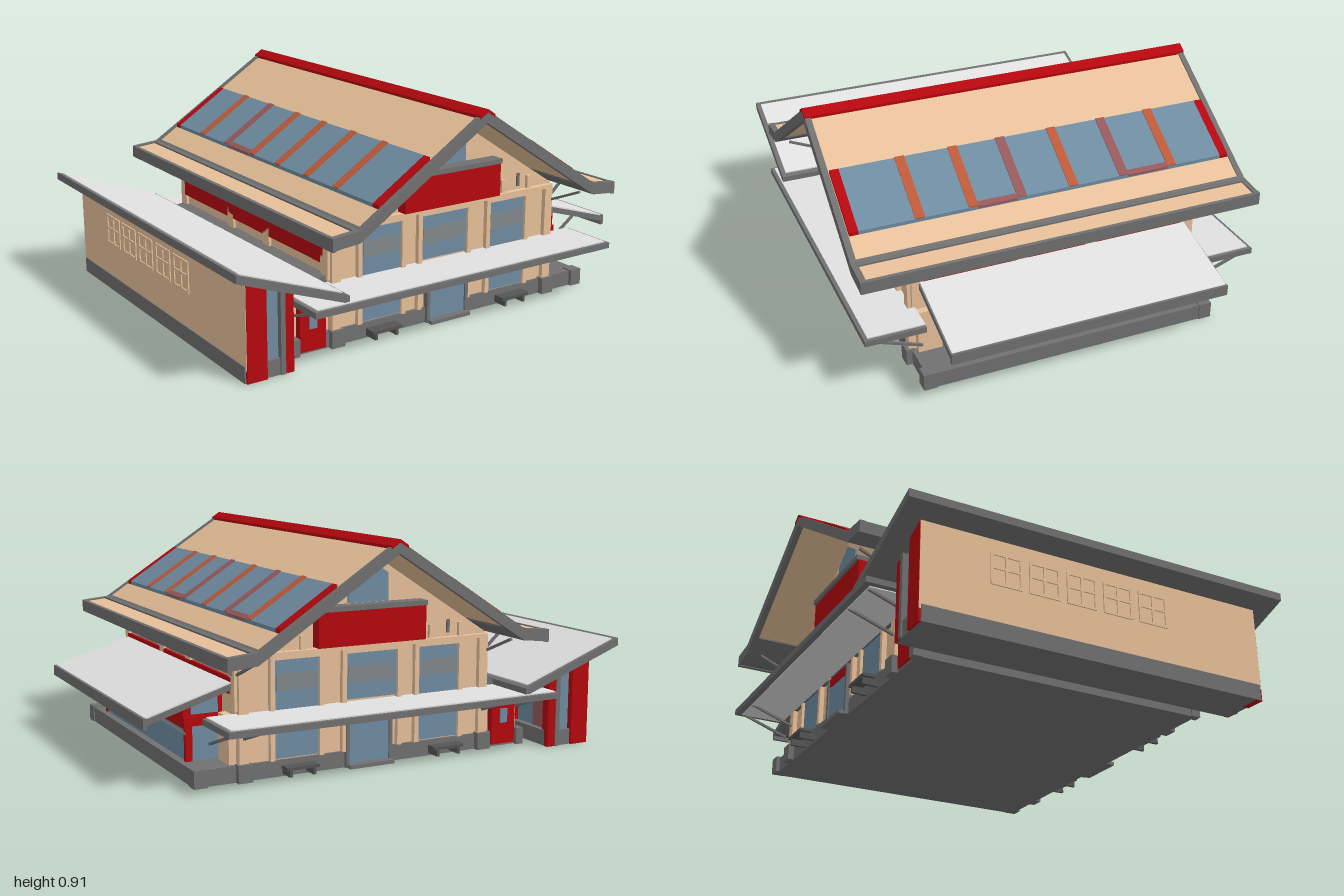
import * as THREE from 'three';

export function createModel() {
  const model = new THREE.Group();
  model.name = 'stationHall';
  const paint = (name, color) => {
    const m = new THREE.MeshStandardMaterial({ color });
    m.name = name;
    return m;
  };
  const tan = paint('tan', 0xeec69e), grey = paint('stoneGrey', 0x707070), dark = paint('darkGrey', 0x555555);
  const glass = paint('blueGlass', 0x6f8ca1), red = paint('red', 0xb4080e), pale = paint('paleGrey', 0xe0e0e0);
  const rust = paint('rust', 0xbc5a3a), mauve = paint('mauve', 0x96595c), blind = paint('blindGrey', 0x82888c);
  const CX = 0.08; // ridge line of the hall

  const add = (name, geo, mat) => {
    const mesh = new THREE.Mesh(geo, mat);
    mesh.name = name;
    model.add(mesh);
    return mesh;
  };
  const box = (name, mat, x0, x1, y0, y1, z0, z1) => {
    const mesh = add(name, new THREE.BoxGeometry(x1 - x0, y1 - y0, z1 - z0), mat);
    mesh.position.set((x0 + x1) / 2, (y0 + y1) / 2, (z0 + z1) / 2);
    return mesh;
  };
  // Outline in x,y pushed along z
  const prism = (name, mat, pts, z0, z1) => {
    const shape = new THREE.Shape(pts.map(p => new THREE.Vector2(p[0], p[1])));
    const geo = new THREE.ExtrudeGeometry(shape, { depth: z1 - z0, bevelEnabled: false });
    geo.translate(0, 0, z0);
    return add(name, geo, mat);
  };
  // Roof sheet: top line of points with a vertical thickness
  const slab = (name, mat, top, t, z0, z1) =>
    prism(name, mat, [...top, ...[...top].reverse().map(([x, y]) => [x, y - t])], z0, z1);
  const rod = (name, mat, a, b, w = 0.01) => {
    const p = new THREE.Vector3(...a), q = new THREE.Vector3(...b);
    const mesh = add(name, new THREE.BoxGeometry(w, w, p.distanceTo(q)), mat);
    mesh.position.copy(p).add(q).multiplyScalar(0.5);
    mesh.lookAt(q);
    return mesh;
  };
  // The same z range on either end of the building
  const ends = (s, a, b) => (s > 0 ? [a, b] : [-b, -a]);

  // Plinth and main hall
  box('plinth', grey, -0.66, 0.82, 0, 0.065, -0.62, 0.62);
  prism('hallWalls', tan, [[-0.48, 0.02], [0.64, 0.02], [0.64, 0.49], [CX, 0.85], [-0.48, 0.49]], -0.61, 0.61);

  // Main roof: straight slope flaring out to flat eaves
  const edge = [[0, 0.9], [0.53, 0.56], [0.58, 0.528], [0.7, 0.517]];
  const height = d => {
    const i = d < 0.53 ? 0 : d < 0.58 ? 1 : 2;
    const [a, b] = [edge[i], edge[i + 1]];
    return a[1] + (b[1] - a[1]) * (d - a[0]) / (b[0] - a[0]);
  };
  for (const s of [-1, 1]) {
    const line = (a, b, lift) => [a, ...edge.map(e => e[0]).filter(d => d > a && d < b), b]
      .map(d => [CX + s * d, height(d) + lift]);
    const onRoof = (name, mat, a, b, z0, z1, lift = 0.007, t = 0.007) =>
      slab(name, mat, line(a, b, lift), t, z0, z1);
    onRoof('roofSlope', tan, 0, 0.56, -0.835, 0.835, 0, 0.035);
    onRoof('roofEave', tan, 0.56, 0.695, -0.835, 0.835, 0, 0.012);
    onRoof('eaveSoffit', grey, 0.5, 0.69, -0.83, 0.83, -0.012, 0.03);
    onRoof('eaveFascia', grey, 0.685, 0.7, -0.85, 0.85, 0.004, 0.05);
    onRoof('roofBand', grey, 0.57, 0.6, -0.83, 0.83);
    for (const e of [-1, 1]) onRoof('gableFascia', grey, 0, 0.7, ...ends(e, 0.825, 0.85), 0.006, 0.048);
    onRoof('ridgeCap', red, 0, 0.036, -0.852, 0.852, 0.012, 0.012);
    // Skylight strip
    onRoof('skylight', glass, 0.25, 0.483, -0.785, 0.785, 0.015, 0.015);
    for (const e of [-1, 1]) onRoof('skylightEnd', red, 0.25, 0.483, ...ends(e, 0.785, 0.822), 0.015, 0.015);
    const bars = s > 0
      ? [[-0.555, rust], [-0.335, mauve], [-0.11, rust], [0.115, mauve], [0.32, rust], [0.54, rust]]
      : [[-0.56, rust], [-0.335, mauve], [-0.11, rust], [0.1, rust], [0.32, rust], [0.535, rust]];
    for (const [z, mat] of bars) onRoof('skylightBar', mat, 0.25, 0.483, z - 0.02, z + 0.02, 0.019, 0.01);
    const fringes = s > 0 ? [[-0.535, -0.355], [0.135, 0.3]] : [[-0.315, -0.13]];
    for (const [z0, z1] of fringes) onRoof('skylightFringe', mauve, 0.468, 0.487, z0, z1, 0.018, 0.009);

    // Eave brackets at the hall corners
    const wx = CX + s * 0.56;
    for (const z of [-0.59, 0.59]) {
      rod('eaveBracket', grey, [wx, 0.4, z], [wx + s * 0.09, 0.48, z]);
      rod('gableBracket', grey, [wx, 0.4, z], [wx, 0.485, z + Math.sign(z) * 0.2]);
    }
    for (const z of [-0.59, -0.15, 0.15, 0.59])
      box('sidePilaster', tan, wx - 0.012, wx + 0.012, 0.27, 0.48, z - 0.025, z + 0.025);
    // Clerestory windows and red flashing
    for (const [z, h] of [[-0.33, 0.115], [0, 0.08], [0.33, 0.115]])
      box('clerestoryWindow', glass, wx - 0.005, wx + 0.005, 0.4, 0.475, z - h, z + h);
    box('sideFlashing', red, wx - 0.012, wx + 0.012, 0.33, 0.395, -0.58, 0.58);
  }

  // Both gable ends
  for (const s of [-1, 1]) {
    const plate = (name, mat, x0, x1, y0, y1, z0 = 0.61, z1 = 0.618) =>
      box(name, mat, x0, x1, y0, y1, ...ends(s, z0, z1));
    for (const [x0, x1, y0] of [[-0.34, -0.15, 0.07], [-0.05, 0.18, 0.27], [0.3, 0.49, 0.07]]) {
      plate('hallWindow', glass, x0, x1, y0, 0.455);
      plate('windowBlind', blind, x0 + 0.01, x1 - 0.01, 0.335, 0.4, 0.61, 0.62);
      plate('windowHead', tan, x0 - 0.02, x1 + 0.02, 0.455, 0.47, 0.61, 0.63);
      for (const x of [x0 - 0.02, x1]) plate('windowJamb', tan, x, x + 0.02, 0.065, 0.46, 0.61, 0.63);
    }
    plate('door', glass, -0.01, 0.17, 0.01, 0.18, 0.61, 0.628);
    plate('doorHeader', red, -0.01, 0.17, 0.185, 0.22, 0.61, 0.63);
    for (const x of [-0.025, 0.17]) plate('doorPost', grey, x, x + 0.015, 0, 0.22, 0.61, 0.635);
    plate('doorStep', grey, -0.02, 0.18, 0, 0.015, 0.61, 0.66);
    for (const x of [-0.48, 0.6]) {
      plate('cornerPilaster', tan, x, x + 0.04, 0.065, 0.48, 0.61, 0.63);
      plate('cornerFoot', grey, x - 0.01, x + 0.05, 0, 0.07, 0.61, 0.645);
    }
    plate('gableRail', tan, -0.47, 0.63, 0.47, 0.485, 0.61, 0.635);
    for (const x of [-0.36, -0.22, 0.36, 0.5]) plate('gableStud', tan, x, x + 0.02, 0.48, 0.54, 0.61, 0.625);
    for (const x of [-0.3, 0.45]) plate('gableVent', grey, x, x + 0.012, 0.5, 0.555);
    plate('signBoard', red, -0.16, 0.32, 0.49, 0.628, 0.61, 0.66);
    plate('signCap', grey, -0.16, 0.32, 0.628, 0.648, 0.61, 0.67);
    prism('gableWindow', glass, [[-0.01, 0.65], [0.17, 0.65], [0.17, 0.76], [0.08, 0.82], [-0.01, 0.76]], ...ends(s, 0.61, 0.618));

    // End canopy with brackets
    plate('canopyFrame', grey, -0.69, 0.775, 0.232, 0.256, 0.6, 0.845);
    plate('canopyTop', pale, -0.675, 0.76, 0.256, 0.261, 0.6, 0.83);
    plate('canopySoffit', pale, -0.665, 0.75, 0.228, 0.232, 0.63, 0.82);
    for (const x of [-0.64, -0.46, 0.62, 0.75])
      rod('canopyBracket', grey, [x, 0.16, s * 0.61], [x, 0.235, s * 0.82]);

    // Benches
    for (const x of [-0.26, 0.4]) {
      plate('benchSeat', dark, x - 0.07, x + 0.07, 0.038, 0.05, 0.64, 0.69);
      for (const d of [-0.05, 0.05]) plate('benchLeg', dark, x + d - 0.006, x + d + 0.006, 0.01, 0.038, 0.62, 0.685);
    }

    // Left annex end wall with its red door
    plate('annexDoor', red, -0.625, -0.51, 0.01, 0.19, 0.58, 0.63);
    plate('annexDoorPane', glass, -0.585, -0.55, 0.1, 0.16, 0.63, 0.635);
    plate('annexFoot', grey, -0.665, -0.63, 0, 0.07, 0.6, 0.64);
    plate('plinthCorner', grey, 0.77, 0.825, 0, 0.07, 0.58, 0.635);
  }

  // Left annex
  box('annexWalls', tan, -0.65, -0.47, 0.06, 0.25, -0.6, 0.6);
  box('annexWindows', glass, -0.656, -0.648, 0.07, 0.19, -0.48, 0.48);
  box('annexBeam', red, -0.658, -0.648, 0.19, 0.225, -0.5, 0.5);
  slab('annexRoof', grey, [[-0.69, 0.262], [-0.47, 0.29]], 0.03, -0.6, 0.6);

  // Right glazed lean-to
  box('leanToGlass', glass, 0.63, 0.79, 0.06, 0.2, -0.48, 0.48);
  box('leanToBeam', red, 0.63, 0.8, 0.192, 0.235, -0.48, 0.48);
  prism('leanToGable', red, [[0.63, 0.23], [0.8, 0.23], [0.8, 0.305], [0.63, 0.355]], -0.47, 0.47);
  for (const z of [-0.475, 0.475]) box('leanToPost', red, 0.77, 0.797, 0.06, 0.22, z - 0.01, z + 0.01);
  for (const s of [-1, 1]) {
    box('leanToCorner', tan, 0.62, 0.67, 0.06, 0.25, ...ends(s, 0.5, 0.6));
    prism('leanToSidePane', glass, [[0.66, 0.245], [0.77, 0.245], [0.77, 0.285], [0.66, 0.32]], ...ends(s, 0.47, 0.476));
    rod('leanToBracket', grey, [0.79, 0.17, s * 0.48], [0.92, 0.265, s * 0.48]);
  }
  slab('leanToRoofFrame', grey, [[0.64, 0.376], [0.99, 0.272]], 0.024, -0.585, 0.585);
  slab('leanToRoofTop', pale, [[0.64, 0.382], [0.99, 0.278]], 0.008, -0.58, 0.58);
  box('leanToRoofEdge', grey, 0.985, 1, 0.232, 0.276, -0.585, 0.585);

  // Platform shelter on the left
  box('shelterBase', grey, -0.925, -0.72, 0, 0.065, -0.735, 0.735);
  box('shelterOuterWall', tan, -0.921, -0.9, 0.05, 0.4, -0.743, 0.743);
  prism('shelterGlazing', glass, [[-0.9, 0.05], [-0.75, 0.05], [-0.75, 0.33], [-0.9, 0.388]], -0.72, 0.72);
  for (let i = 0; i < 7; i++) {
    const z = -0.71 + i * 1.42 / 6;
    box('shelterPost', red, -0.76, -0.725, 0.04, 0.32, z - 0.018, z + 0.018);
  }
  box('shelterBeam', red, -0.755, -0.728, 0.29, 0.325, -0.73, 0.73);
  for (const s of [-1, 1]) {
    prism('shelterEndPanel', red, [[-0.919, 0], [-0.835, 0], [-0.835, 0.37], [-0.919, 0.4]], ...ends(s, 0.715, 0.745));
    box('shelterEndPost', grey, -0.775, -0.755, 0, 0.335, ...ends(s, 0.715, 0.742));
    box('shelterEndEdge', red, -0.755, -0.718, 0, 0.32, ...ends(s, 0.715, 0.738));
    box('shelterTintedPane', mauve, -0.752, -0.744, 0.065, 0.29, ...ends(s, 0.6, 0.715));
  }
  // Raised frames on the shelter's outer wall
  for (const z of [-0.4, -0.24, -0.08, 0.08, 0.24]) {
    for (const d of [-0.06, 0, 0.06]) box('wallFrameStile', tan, -0.926, -0.92, 0.21, 0.34, z + d - 0.005, z + d + 0.005);
    for (const y of [0.21, 0.275, 0.33]) box('wallFrameRail', tan, -0.926, -0.92, y, y + 0.01, z - 0.065, z + 0.065);
  }
  slab('shelterRoofFrame', grey, [[-1, 0.455], [-0.53, 0.285]], 0.032, -0.828, 0.825);
  slab('shelterRoofTop', pale, [[-0.98, 0.4527], [-0.55, 0.297]], 0.007, -0.81, 0.806);

  return model;
}
